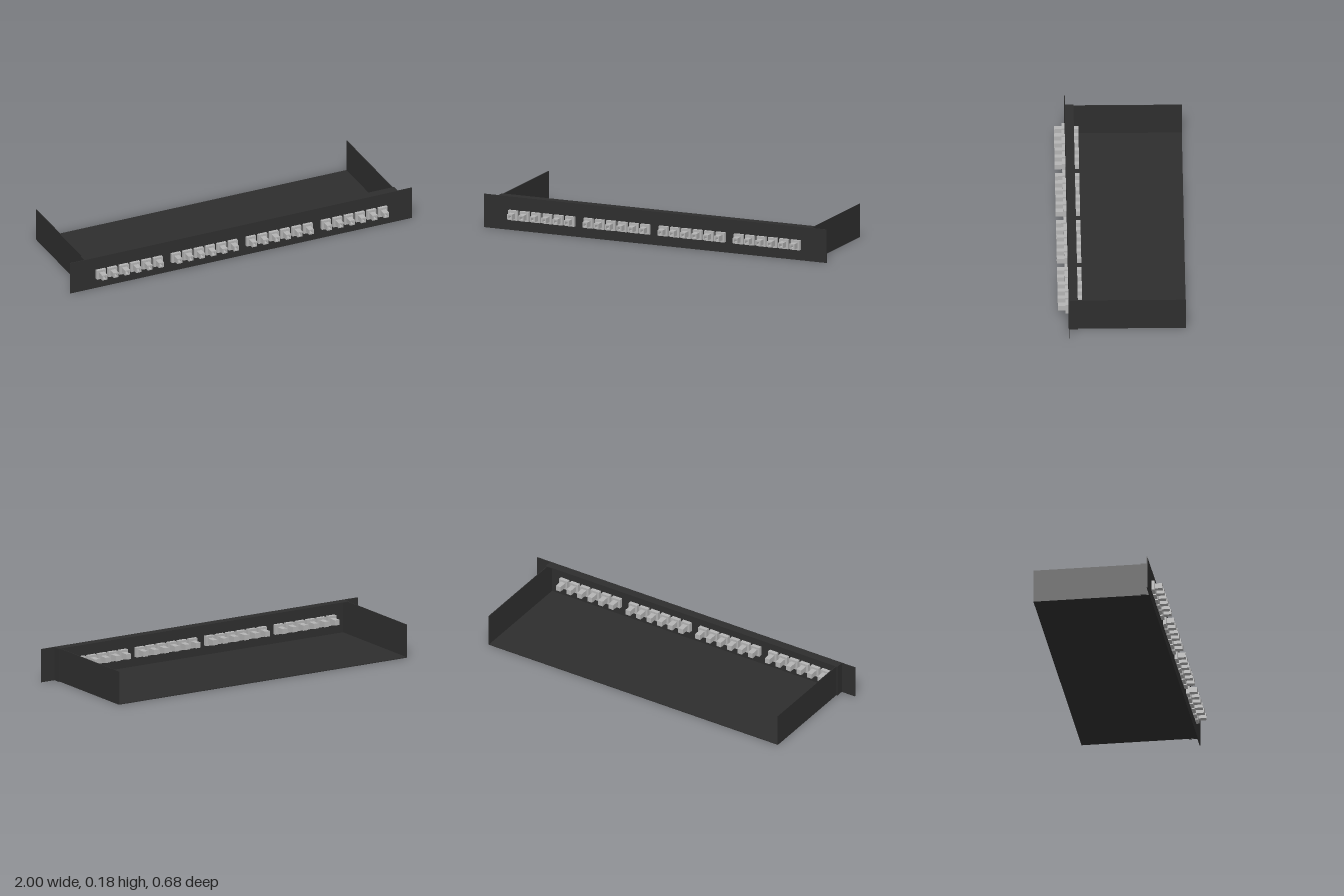
import * as THREE from 'three';

const charcoal = new THREE.MeshStandardMaterial({ color: 0x2e2e2e });
charcoal.name = 'charcoal steel';
const grey = new THREE.MeshStandardMaterial({ color: 0xb4b4b4 });
grey.name = 'light grey plastic';

// Box given by its minimum and maximum corners
function box(parent, name, material, [x0, y0, z0], [x1, y1, z1]) {
  const mesh = new THREE.Mesh(new THREE.BoxGeometry(x1 - x0, y1 - y0, z1 - z0), material);
  mesh.position.set((x0 + x1) / 2, (y0 + y1) / 2, (z0 + z1) / 2);
  mesh.name = name;
  parent.add(mesh);
}

// Square socket, open at the front
function socketGeometry(size, hole, depth) {
  const s = size / 2, h = hole / 2;
  const shape = new THREE.Shape([[-s, -s], [s, -s], [s, s], [-s, s]].map(p => new THREE.Vector2(...p)));
  shape.holes.push(new THREE.Path([[-h, -h], [-h, h], [h, h], [h, -h]].map(p => new THREE.Vector2(...p))));
  return new THREE.ExtrudeGeometry(shape, { depth, bevelEnabled: false });
}

export function createModel() {
  const model = new THREE.Group();
  model.name = 'rackPatchPanel';
  const H = 0.182, T = 0.004, back = -0.34, front = 0.283, face = 0.279, lip = 0.235;

  // Tray and front plate
  box(model, 'frontPanel', charcoal, [-1, 0, face], [1, H, front]);
  box(model, 'floor', charcoal, [-0.91, 0, back], [0.91, T, face]);
  box(model, 'topLip', charcoal, [-0.917, H - T, lip], [0.917, H, face]);
  for (const s of [-1, 1]) {
    const span = (a, b) => [Math.min(s * a, s * b), Math.max(s * a, s * b)];
    const [w0, w1] = span(0.906, 0.91);
    box(model, s > 0 ? 'leftWall' : 'rightWall', charcoal, [w0, 0, back], [w1, H - 0.0005, face]);
    const [f0, f1] = span(0.912, 0.917);
    box(model, s > 0 ? 'leftFlange' : 'rightFlange', charcoal, [f0, 0, lip], [f1, H - T, face]);
  }

  // Four banks of six couplers
  const socket = socketGeometry(0.029, 0.015, 0.04);
  const cy = 0.0835, half = 0.0265, r = 0.0145;
  for (let bank = 0; bank < 4; bank++) {
    for (let i = 0; i < 6; i++) {
      const coupler = new THREE.Group();
      coupler.name = 'coupler';
      coupler.position.set((bank - 1.5) * 0.4385 + (i - 2.5) * 0.0663, cy, 0);
      box(coupler, 'frontCollar', grey, [-half, -half, front], [half, half, 0.3]);
      box(coupler, 'rearCollar', grey, [-half, -half, 0.258], [half, half, face]);
      box(coupler, 'rearPlug', grey, [-r, -r, 0.21], [r, r, 0.258]);
      const plug = new THREE.Mesh(socket, grey);
      plug.name = 'frontSocket';
      plug.position.z = 0.3;
      coupler.add(plug);
      // Dark bottom of the socket opening
      box(coupler, 'socketOpening', charcoal, [-0.0075, -0.0075, 0.3], [0.0075, 0.0075, 0.304]);
      model.add(coupler);
    }
  }
  return model;
}
